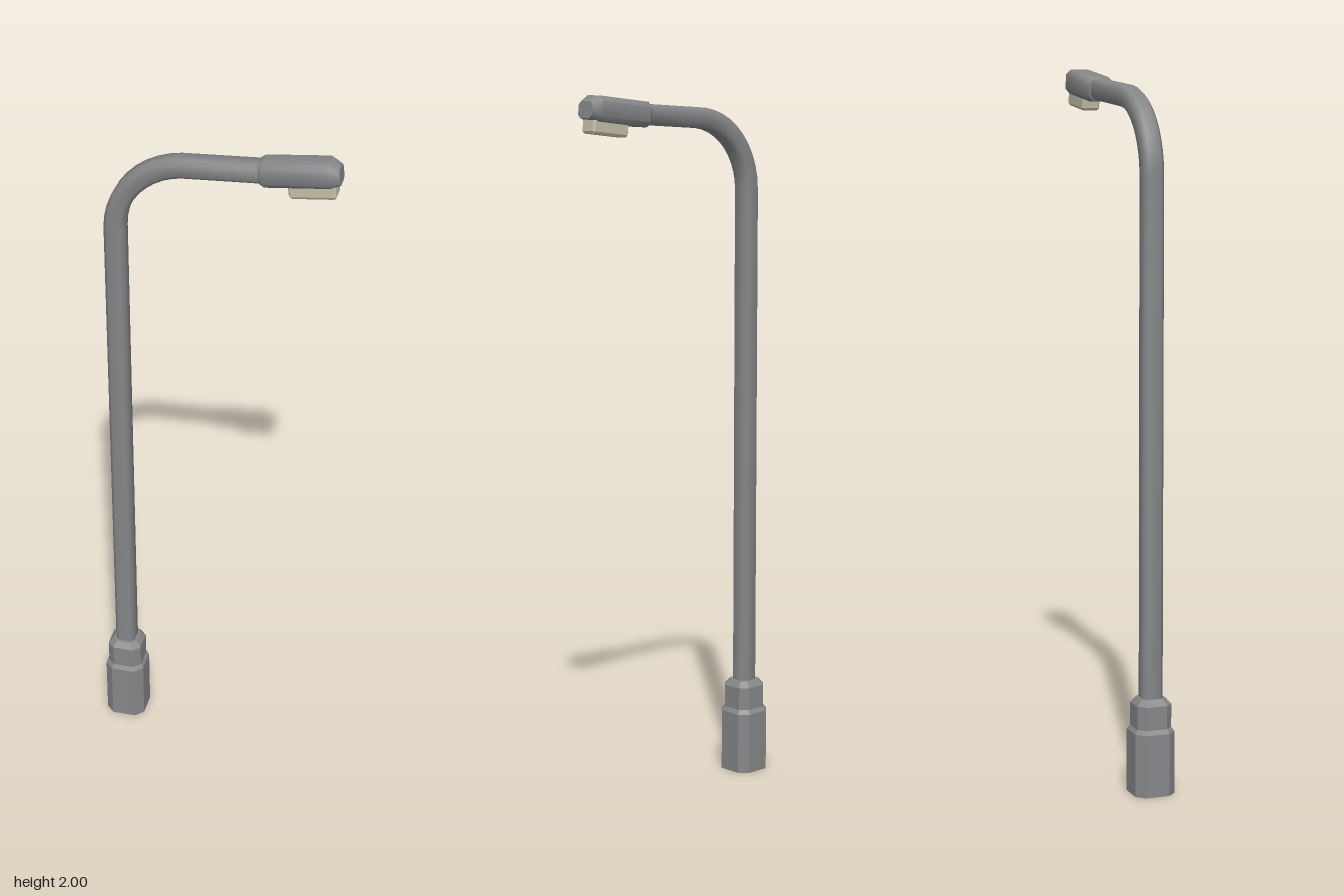
import * as THREE from 'three';
import { toCreasedNormals } from 'three/addons/utils/BufferGeometryUtils.js';

const POLE_X = -0.279, TILT = 0.115;

// Lofts chamfered rectangles along a path in the xy plane.
// Ring: [x, y, travel angle, half height, half width (z)]
function loft(rings, crease, chamfer = 0.4) {
  const pos = [], index = [];
  for (const [x, y, a, h, w] of rings) {
    const c = chamfer * Math.min(h, w);
    const section = [[h, c - w], [h, w - c], [h - c, w], [c - h, w],
      [-h, w - c], [-h, c - w], [c - h, -w], [h - c, -w]];
    for (const [u, v] of section) pos.push(x - Math.sin(a) * u, y + Math.cos(a) * u, v);
  }
  const last = (rings.length - 1) * 8;
  for (let i = 0; i < last; i += 8) {
    for (let j = 0; j < 8; j++) {
      const k = (j + 1) % 8;
      index.push(i + j, i + k, i + 8 + k, i + j, i + 8 + k, i + 8 + j);
    }
  }
  for (let j = 1; j < 7; j++) index.push(0, j + 1, j, last, last + j, last + j + 1);
  const g = new THREE.BufferGeometry();
  g.setAttribute('position', new THREE.Float32BufferAttribute(pos, 3));
  g.setIndex(index);
  return toCreasedNormals(g, crease);
}

// Point in the tilted lamp head frame: s along it, n above its axis
const headPoint = (s, n) => [
  0.12 + s * Math.cos(TILT) - n * Math.sin(TILT),
  1.942 + s * Math.sin(TILT) + n * Math.cos(TILT),
];

export function createModel() {
  const group = new THREE.Group();
  const metal = new THREE.MeshStandardMaterial({ color: 0x858788 });
  metal.name = 'grey metal';
  const glass = new THREE.MeshStandardMaterial({ color: 0xc2beA6 });
  glass.name = 'pale lamp glass';
  const add = (name, geometry, material) => {
    const mesh = new THREE.Mesh(geometry, material);
    mesh.name = name;
    group.add(mesh);
  };
  const UP = Math.PI / 2;

  // Stepped base
  const base = [[0, 0.058], [0.178, 0.058], [0.19, 0.05], [0.256, 0.05], [0.273, 0.036]];
  add('base', loft(base.map(([y, r]) => [POLE_X, y, UP, r, r]), 0.3), metal);

  // Pole, bend and arm in one sweep
  const R = 0.21, bendY = 1.72, r = 0.029;
  const path = [[POLE_X, 0.25, UP, r, r]];
  const steps = 10;
  for (let i = 0; i <= steps; i++) {
    const turn = (UP - TILT) * i / steps;
    path.push([POLE_X + R * (1 - Math.cos(turn)), bendY + R * Math.sin(turn), UP - turn, r, r]);
  }
  path.push([...headPoint(0.02, 0), TILT, r, r]);
  add('poleAndArm', loft(path, 0.9), metal);

  // Lamp head with tapered ends
  const head = [[0, 0, 0.03, 0.033], [0.012, 0, 0.035, 0.04],
    [0.188, 0, 0.035, 0.04], [0.216, -0.006, 0.023, 0.028]];
  add('lampHead', loft(head.map(([s, n, h, w]) => [...headPoint(s, n), TILT, h, w]), 0.9), metal);

  // Lamp glass hanging below the head
  const lamp = [[-0.02, 0.064, 0.026], [-0.062, 0.064, 0.026], [-0.069, 0.06, 0.022]];
  add('lampGlass', loft(lamp.map(([n, h, w]) => [...headPoint(0.138, n), TILT - UP, h, w]), 0.3, 0.2), glass);

  return group;
}
